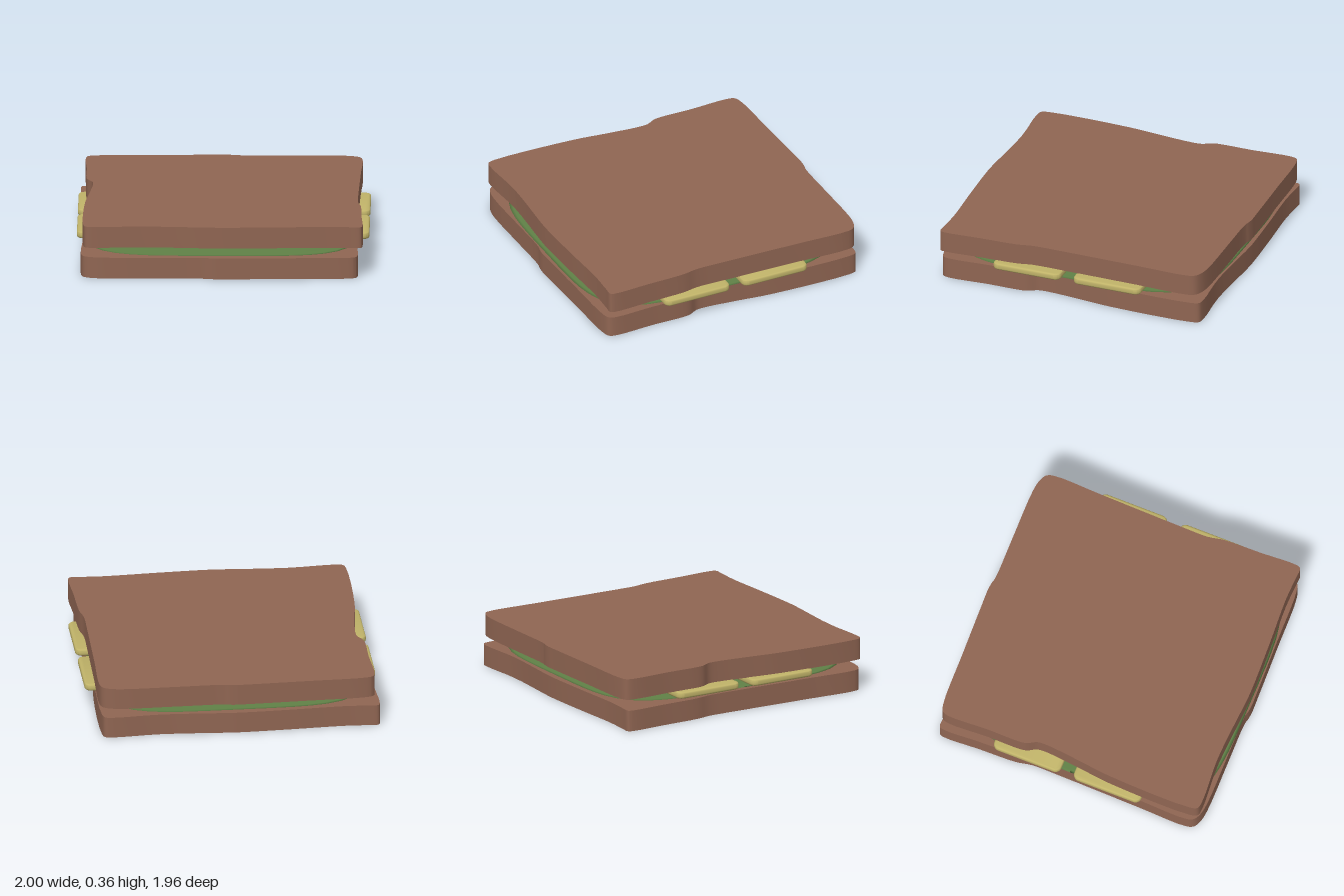
import * as THREE from 'three';
import { toCreasedNormals } from 'three/addons/utils/BufferGeometryUtils.js';

const bread = new THREE.MeshStandardMaterial({ color: 0x8f6552 });
const cheese = new THREE.MeshStandardMaterial({ color: 0xbfb268 });
const green = new THREE.MeshStandardMaterial({ color: 0x5f8046 });

// Outline of a slice as [x, z], with a small bite in the -x edge
const outline = [
  [-0.955, -0.88], [-0.94, -0.93], [-0.89, -0.95], [-0.5, -0.965], [-0.05, -0.979], [0, -0.98], [0.05, -0.975],
  [0.095, -0.965], [0.4, -0.965], [0.78, -0.965], [0.87, -0.95], [0.915, -0.925], [0.935, -0.88],
  [0.93, -0.5], [0.92, 0.05], [0.92, 0.27], [0.94, 0.38], [0.948, 0.65], [0.957, 0.91], [0.945, 0.94],
  [0.87, 0.94], [0.7, 0.935], [0.35, 0.953], [0, 0.965], [-0.1, 0.962], [-0.55, 0.938], [-0.88, 0.957],
  [-0.935, 0.945], [-0.952, 0.89], [-0.946, 0.3], [-0.92, 0.06], [-0.898, -0.18], [-0.903, -0.25],
  [-0.935, -0.31], [-0.945, -0.36], [-0.945, -0.6],
];

// Extrudes a shape drawn in (x, -z) upward along y
function slab(shape, depth, bevel) {
  const g = new THREE.ExtrudeGeometry(shape, {
    depth: depth - 2 * bevel, bevelEnabled: bevel > 0, bevelThickness: bevel,
    bevelSize: bevel, bevelOffset: -bevel, bevelSegments: 4, curveSegments: 8,
  });
  g.rotateX(-Math.PI / 2);
  g.translate(0, bevel, 0);
  return toCreasedNormals(g, 0.6);
}

function addMesh(group, name, geometry, material, x, y, z) {
  const mesh = new THREE.Mesh(geometry, material);
  mesh.name = name;
  mesh.position.set(x, y, z);
  group.add(mesh);
  return mesh;
}

// Rounded rectangle for the cheese strips
function roundedRect(w, h, r) {
  const s = new THREE.Shape();
  s.absarc(w / 2 - r, h / 2 - r, r, 0, Math.PI / 2);
  s.absarc(-w / 2 + r, h / 2 - r, r, Math.PI / 2, Math.PI);
  s.absarc(-w / 2 + r, -h / 2 + r, r, Math.PI, Math.PI * 1.5);
  s.absarc(w / 2 - r, -h / 2 + r, r, Math.PI * 1.5, Math.PI * 2);
  s.closePath();
  return s;
}

// Thin lens with a squarish rim
function leafGeometry() {
  const g = new THREE.SphereGeometry(1, 64, 16);
  const p = g.attributes.position;
  for (let i = 0; i < p.count; i++) {
    const x = p.getX(i), z = p.getZ(i);
    const r = Math.hypot(x, z);
    const k = r > 1e-6 ? r / Math.pow(Math.abs(x) ** 4.5 + Math.abs(z) ** 4.5, 1 / 4.5) : 1;
    p.setXYZ(i, x * k * 0.94, p.getY(i) * 0.011, z * k * 0.955);
  }
  g.computeVertexNormals();
  return g;
}

export function createModel() {
  const model = new THREE.Group();
  model.name = 'sandwich';

  // Two slices, the lower one turned half way round
  const curve = new THREE.CatmullRomCurve3(
    outline.map(([x, z]) => new THREE.Vector3(x, -z, 0)), true, 'centripetal');
  const shape = new THREE.Shape(curve.getPoints(144).slice(0, -1).map(v => new THREE.Vector2(v.x, v.y)));
  const slice = slab(shape, 0.147, 0);
  addMesh(model, 'topSlice', slice, bread, 0, 0.214, 0);
  addMesh(model, 'bottomSlice', slice, bread, -0.03, 0, 0).rotation.y = Math.PI;

  // Filling
  addMesh(model, 'lettuce', leafGeometry(), green, -0.015, 0.162, 0.01);
  const strip = slab(roundedRect(2, 0.495, 0.045), 0.047, 0.015);
  for (const [name, z] of [['frontCheese', 0.293], ['backCheese', -0.297]]) {
    addMesh(model, name, strip, cheese, 0, 0.168, z);
  }
  return model;
}
